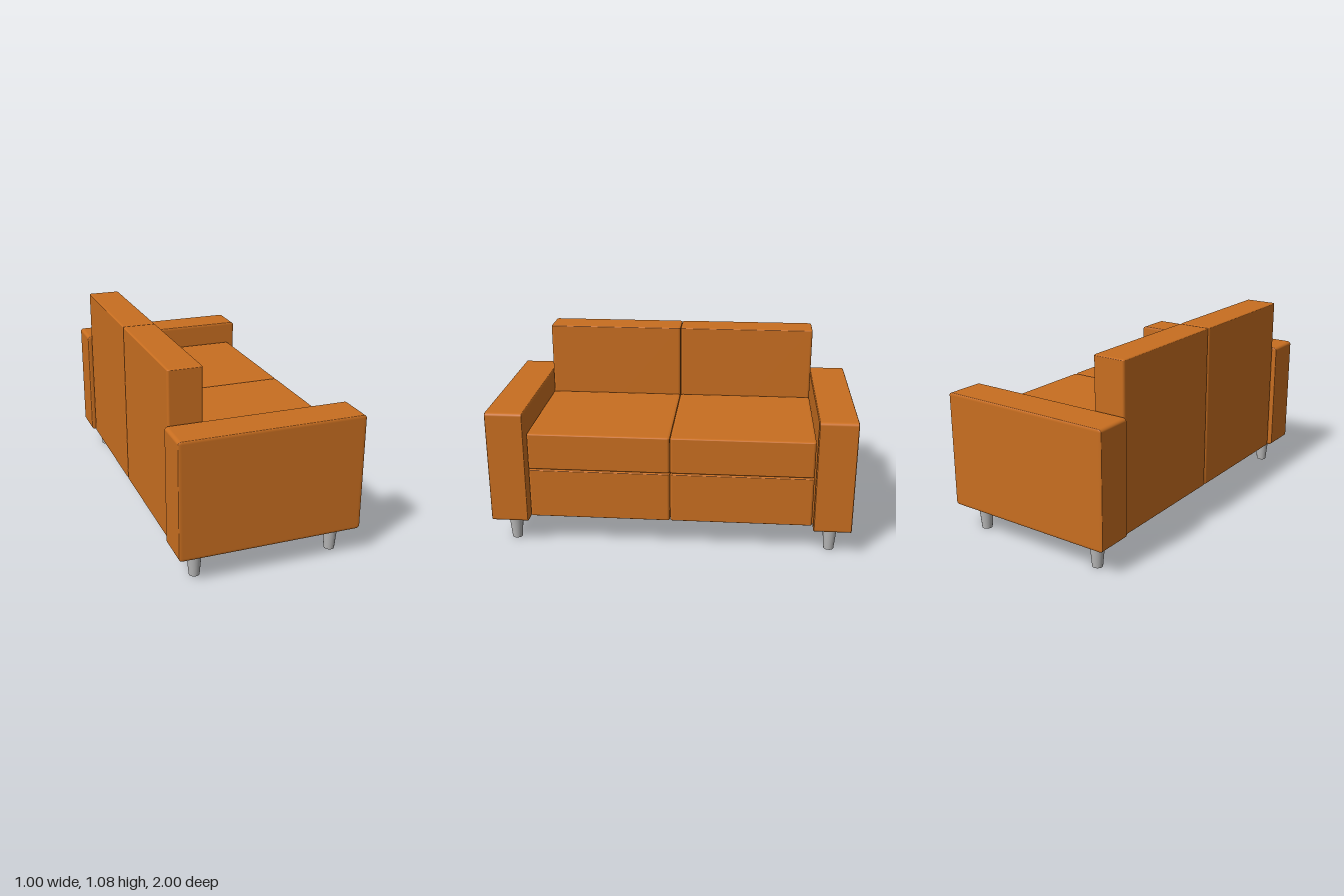
import * as THREE from 'three';
import { RoundedBoxGeometry } from 'three/addons/geometries/RoundedBoxGeometry.js';

// Soft-edged block from min to max corner, with its own edge radius on each axis
function block(name, min, max, radii, material) {
  const size = min.map((v, i) => max[i] - v);
  const geometry = new RoundedBoxGeometry(...size.map((s, i) => s / radii[i]), 4, 1);
  geometry.scale(...radii);
  const mesh = new THREE.Mesh(geometry, material);
  mesh.position.set(...min.map((v, i) => (v + max[i]) / 2));
  mesh.name = name;
  return mesh;
}

export function createModel() {
  const fabric = new THREE.MeshStandardMaterial({ color: 0xc86e20 });
  fabric.name = 'orange fabric';
  const metal = new THREE.MeshStandardMaterial({ color: 0xb8b8b8 });
  metal.name = 'grey metal';

  const sofa = new THREE.Group();
  sofa.name = 'sofa';
  const legGeometry = new THREE.CylinderGeometry(0.042, 0.028, 0.15, 32);

  for (const side of [-1, 1]) {
    // z range of a part on this side of the sofa
    const span = (a, b) => (side > 0 ? [a, b] : [-b, -a]);

    // Armrest
    const [a0, a1] = span(0.79, 1);
    sofa.add(block('armrest', [-0.5, 0.15, a0], [0.5, 0.79, a1], [0.02, 0.016, 0.006], fabric));

    // Backrest, base and seat cushion
    const [z0, z1] = span(0.001, 0.786);
    sofa.add(block('backrest', [-0.48, 0.15, z0], [-0.296, 1.075, z1], [0.012, 0.006, 0.015], fabric));
    sofa.add(block('seatBase', [-0.294, 0.165, z0], [0.455, 0.449, z1], [0.016, 0.006, 0.015], fabric));
    sofa.add(block('seatCushion', [-0.294, 0.451, z0], [0.455, 0.66, z1], [0.016, 0.008, 0.015], fabric));

    // Tapered legs
    for (const x of [-0.385, 0.385]) {
      const leg = new THREE.Mesh(legGeometry, metal);
      leg.name = 'leg';
      leg.position.set(x, 0.075, side * 0.89);
      sofa.add(leg);
    }
  }
  return sofa;
}
